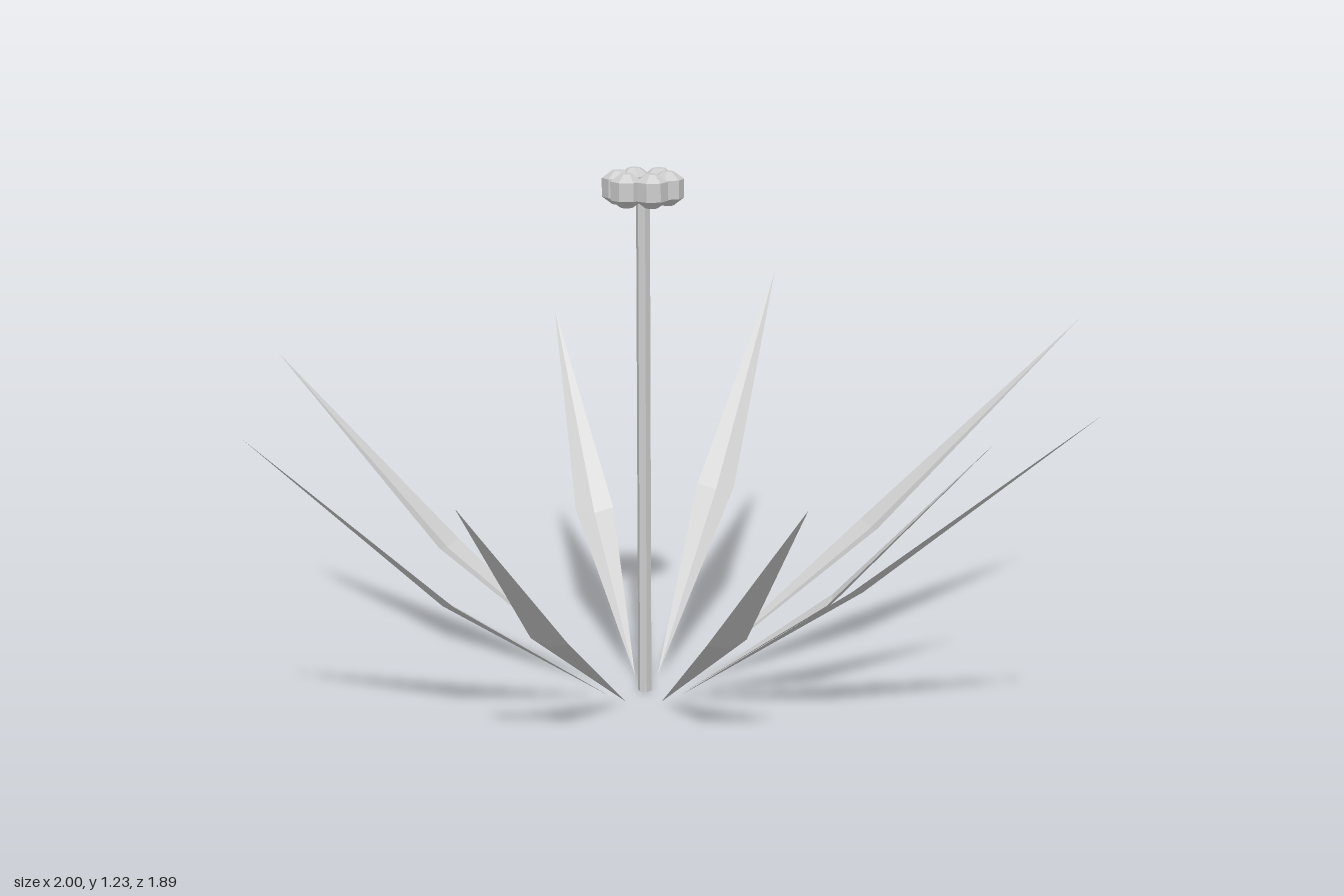
import * as THREE from 'three';

const material = new THREE.MeshStandardMaterial({ color: 0xcccccc, flatShading: true, side: THREE.DoubleSide });

// Leaf sizes: [tip radius, tip height, middle radius, middle height]
const SIZES = {
  small: [0.803, 0.645, 0.435, 0.252],
  medium: [0.962, 0.73, 0.51, 0.302],
  large: [1.115, 0.808, 0.57, 0.35],
};

// Leaves around the stalk: [angle in degrees from +x towards +z, size]
const LEAVES = [
  [0, 'small'], [19.6, 'large'], [52.3, 'small'],
  [104.8, 'small'], [137.3, 'medium'], [189.8, 'medium'],
  [242.4, 'medium'], [275, 'large'], [327.2, 'large'],
];

// Pointed leaf pointing along +x, creased into a shallow valley, bent upwards at its widest point
function leafGeometry([tipR, tipY, midR, midY]) {
  const halfWidth = 0.048, fold = 0.012;
  const geometry = new THREE.BufferGeometry();
  geometry.setAttribute('position', new THREE.Float32BufferAttribute([
    0.095, 0.003, 0, // base
    midR, midY, -halfWidth, // one edge
    midR + 0.003, midY - fold, 0, // crease
    midR, midY, halfWidth, // other edge
    tipR, tipY, 0, // tip
  ], 3));
  geometry.setIndex([0, 1, 2, 0, 2, 3, 1, 4, 2, 2, 4, 3]);
  const flat = geometry.toNonIndexed();
  flat.computeVertexNormals();
  return flat;
}

export function createModel() {
  const model = new THREE.Group();
  model.name = 'floweringPlant';

  const plant = new THREE.Group();
  plant.name = 'plant';
  plant.position.set(-0.053, 0, 0.164);
  model.add(plant);

  const add = (parent, name, geometry) => {
    const mesh = new THREE.Mesh(geometry, material);
    mesh.name = name;
    parent.add(mesh);
    return mesh;
  };

  // Rosette of leaves
  const rosette = new THREE.Group();
  rosette.name = 'leaves';
  plant.add(rosette);
  LEAVES.forEach(([degrees, size], i) => {
    const leaf = add(rosette, `leaf${i + 1}`, leafGeometry(SIZES[size]));
    leaf.rotation.y = -THREE.MathUtils.degToRad(degrees);
  });

  // Stalk
  const stalk = add(plant, 'stalk', new THREE.CylinderGeometry(0.016, 0.016, 1.18, 6));
  stalk.position.y = 0.59;
  stalk.rotation.y = Math.PI / 6;

  // Ring of chamfered florets on top of the stalk
  const flower = new THREE.Group();
  flower.name = 'flowerHead';
  flower.position.y = 1.187;
  plant.add(flower);
  const profile = [
    [0, -0.038], [0.014, -0.038], [0.037, -0.021],
    [0.037, 0.021], [0.014, 0.038], [0, 0.038],
  ].map(([x, y]) => new THREE.Vector2(x, y));
  const floretGeometry = new THREE.LatheGeometry(profile, 7);
  for (let i = 0; i < 6; i++) {
    const angle = (i * Math.PI) / 3 - 0.06;
    const floret = add(flower, `floret${i + 1}`, floretGeometry);
    floret.position.set(Math.cos(angle) * 0.056, 0, Math.sin(angle) * 0.056);
    floret.rotation.y = -angle;
  }

  return model;
}
